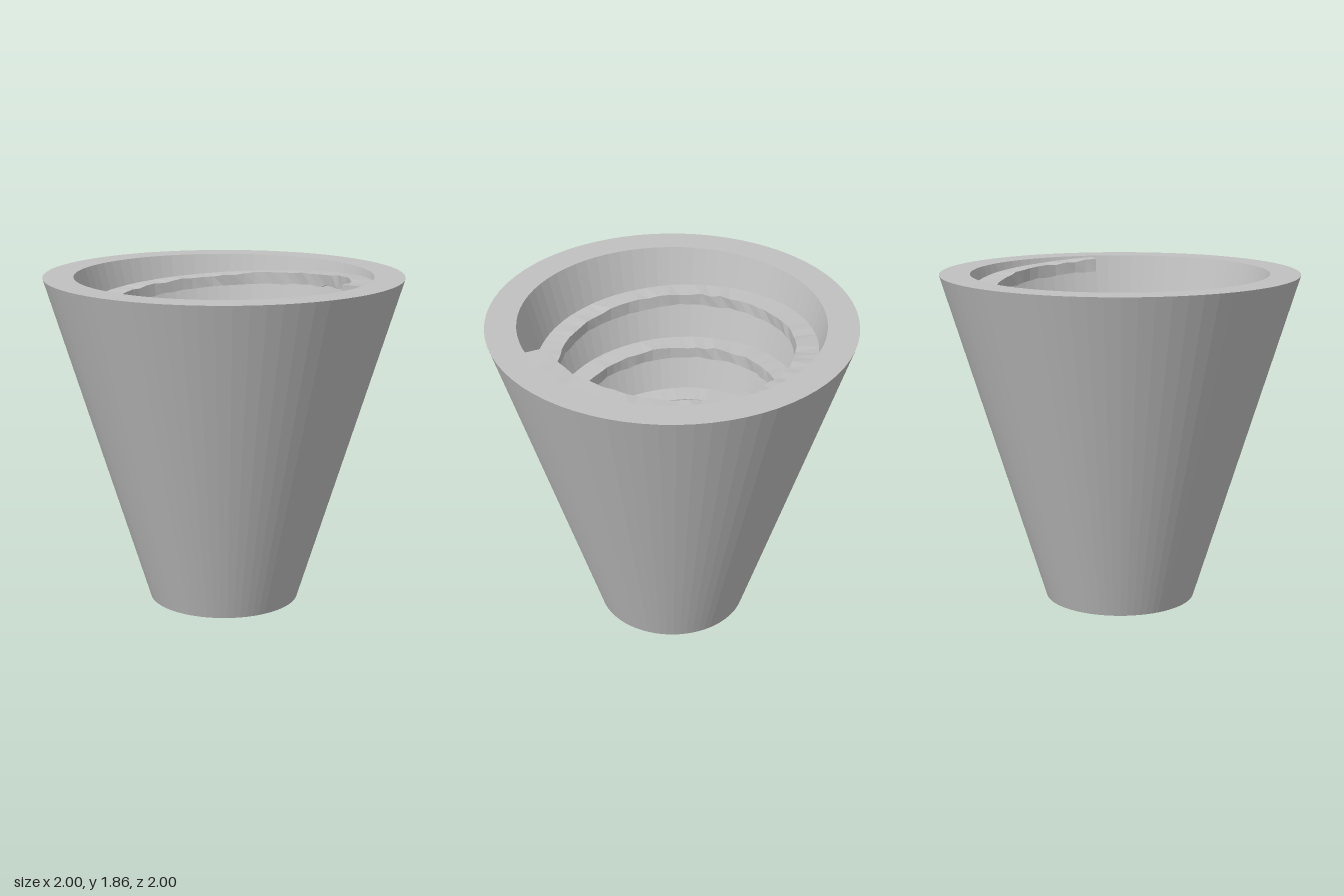
import * as THREE from 'three';

const HEIGHT = 1.86, TURN = Math.PI * 2;
const OUTER = [0.425, 1], INNER = [0.285, 0.83]; // radii at bottom and top
const innerWall = y => THREE.MathUtils.lerp(INNER[0], INNER[1], y / HEIGHT);

// Faceted copy of a geometry
function faceted(geometry) {
  const g = geometry.index ? geometry.toNonIndexed() : geometry;
  g.computeVertexNormals();
  return g;
}

// Small seeded noise for the rough ridge
function makeNoise(seed) {
  return amount => {
    seed = (seed * 16807) % 2147483647;
    return (seed / 2147483647 - 0.5) * 2 * amount;
  };
}

// Hollow cone, open at both ends
function coneShell() {
  const profile = [
    [OUTER[0], 0], [OUTER[1], HEIGHT], [INNER[1], HEIGHT], [INNER[0], 0], [OUTER[0], 0],
  ].map(([r, y]) => new THREE.Vector2(r, y));
  return faceted(new THREE.LatheGeometry(profile, 72));
}

// Ledge climbing the inner wall, swept from a four-cornered section
function spiralLedge() {
  const start = -0.12, end = 6 * TURN - 0.9, steps = 400;
  const noise = makeNoise(77);
  const positions = [], index = [];
  for (let i = 0; i <= steps; i++) {
    const a = start + (end - start) * i / steps;
    const t = a / TURN;
    const top = 0.095 + 0.3 * t, bottom = top - 0.068;
    const inner = 0.19 + 0.088 * t;
    const section = [
      [inner + noise(0.005), bottom + noise(0.006)],
      [innerWall(bottom) + 0.015, bottom],
      [innerWall(top) + 0.015, top],
      [inner + noise(0.005), top + noise(0.006)],
    ];
    for (const [r, y] of section) positions.push(-r * Math.sin(a), y, r * Math.cos(a));
    if (i === steps) break;
    for (let k = 0; k < 4; k++) {
      const p = i * 4 + k, q = i * 4 + (k + 1) % 4;
      index.push(p, q, q + 4, p, q + 4, p + 4);
    }
  }
  // End caps
  const e = steps * 4;
  index.push(0, 3, 2, 0, 2, 1, e, e + 1, e + 2, e, e + 2, e + 3);
  const g = new THREE.BufferGeometry();
  g.setAttribute('position', new THREE.Float32BufferAttribute(positions, 3));
  g.setIndex(index);
  return faceted(g);
}

export function createModel() {
  const group = new THREE.Group();
  group.name = 'spiralFunnel';
  const grey = new THREE.MeshStandardMaterial({ color: 0xc0c0c0 });
  grey.name = 'light grey';

  const shell = new THREE.Mesh(coneShell(), grey);
  shell.name = 'coneShell';
  const ledge = new THREE.Mesh(spiralLedge(), grey);
  ledge.name = 'spiralLedge';

  group.add(shell, ledge);
  return group;
}
